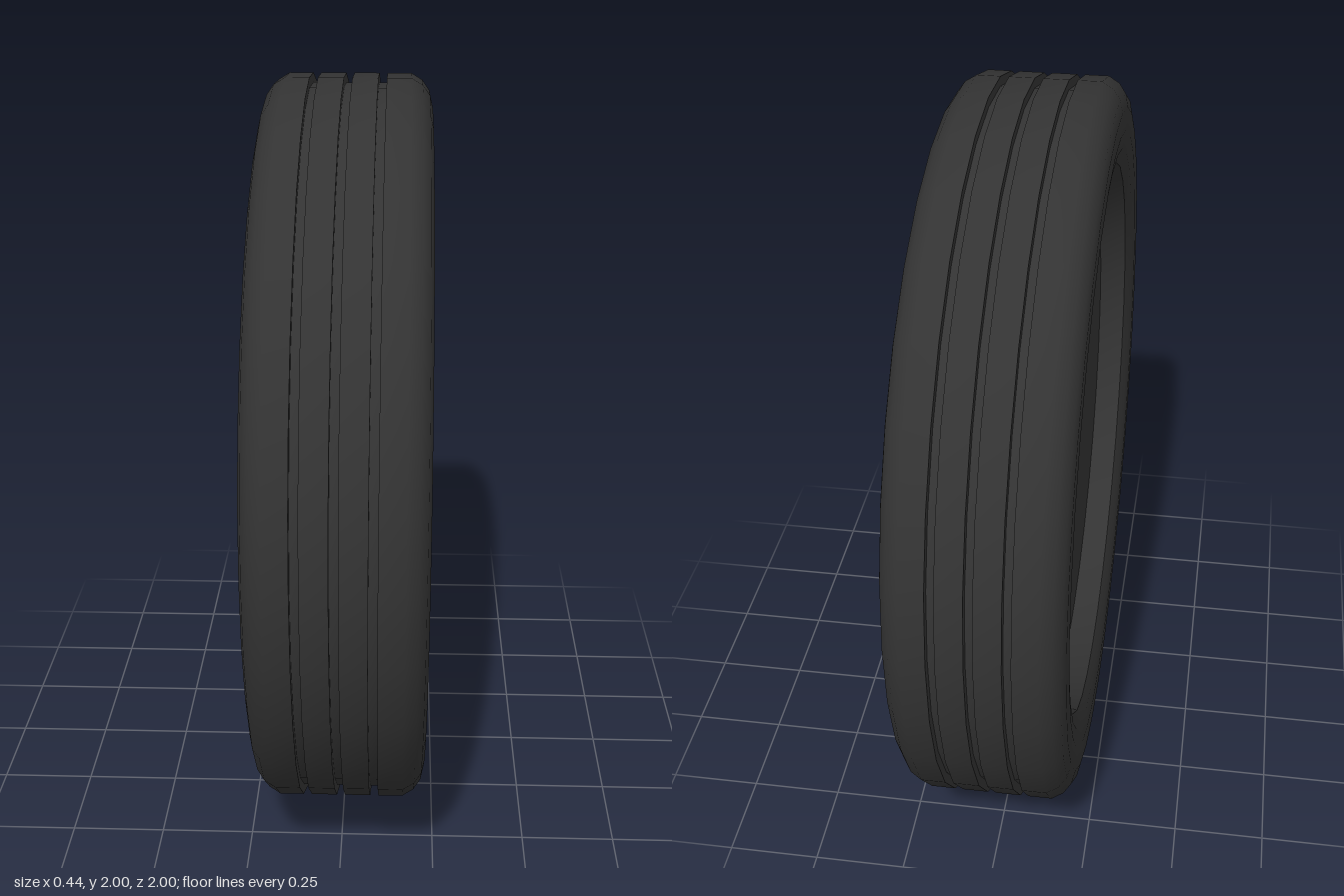
import * as THREE from 'three';
import { toCreasedNormals } from 'three/addons/utils/BufferGeometryUtils.js';

const mat = (name, color, extra = {}) => {
  const m = new THREE.MeshStandardMaterial({ color, ...extra });
  m.name = name;
  return m;
};

export function createModel() {
  const rubber = mat('rubber', 0x333333);
  const rimGrey = mat('rimGrey', 0x626367);
  const innerDark = mat('innerDark', 0x35363a);
  const discGrey = mat('discGrey', 0x949496);
  const silver = mat('silver', 0xc9cbcc);
  const red = mat('red', 0xc84b3e);
  const holeDark = mat('holeDark', 0x2b2b2d);

  const model = new THREE.Group();
  model.name = 'wheel';
  const wheel = new THREE.Group();
  wheel.name = 'wheelAssembly';
  wheel.position.y = 1;
  model.add(wheel);

  const add = (name, geo, material, parent = wheel) => {
    const mesh = new THREE.Mesh(geo, material);
    mesh.name = name;
    parent.add(mesh);
    return mesh;
  };
  // Profile of [x, radius] points turned about the x axle
  const turn = (profile, segments, crease) => {
    const geo = new THREE.LatheGeometry(profile.map(([x, r]) => new THREE.Vector2(r, x)), segments);
    geo.rotateZ(-Math.PI / 2);
    return toCreasedNormals(geo, crease);
  };
  // Solid cylinder between two x positions
  const drum = (x0, x1, r0, r1, segments) =>
    new THREE.CylinderGeometry(r1, r0, x1 - x0, segments).rotateZ(-Math.PI / 2).translate((x0 + x1) / 2, 0, 0);

  // Tyre: half a sidewall mirrored, with three tread grooves between
  const side = [[0.2, 0.77], [0.215, 0.81], [0.222, 0.86], [0.222, 0.92], [0.214, 0.955], [0.195, 0.982], [0.165, 1]];
  const tread = [];
  for (const g of [-0.09, 0, 0.09]) {
    tread.push([g - 0.011, 1], [g - 0.011, 0.974], [g + 0.011, 0.974], [g + 0.011, 1]);
  }
  const back = side.map(([x, r]) => [-x, r]);
  add('tyre', turn([[-0.115, 0.755], ...back, ...tread, ...side.slice().reverse()], 32, 0.6), rubber);

  // Closed, recessed back
  add('backPlate', drum(-0.125, -0.115, 0.757, 0.757, 32), rubber);

  // Rim lip and faceted barrel
  add('rimLip', turn([[0.2, 0.77], [0.15, 0.7], [0.14, 0.69]], 32, 0.5), rimGrey);
  add('rimBarrel', turn([[0.14, 0.69], [-0.115, 0.685]], 32, 0.1), innerDark);

  // Brake disc and its raised centre
  add('brakeDisc', drum(-0.05, -0.02, 0.67, 0.67, 64), discGrey);
  add('brakeCentre', drum(-0.02, 0.005, 0.278, 0.26, 32), rimGrey);

  // Two rings of drilled holes
  const rings = [[0.57, 7.5], [0.47, 5]];
  const holeGeo = drum(-0.021, -0.017, 0.014, 0.014, 10);
  for (const [r, start] of rings) {
    for (let i = 0; i < 24; i++) {
      const a = THREE.MathUtils.degToRad(start + i * 15);
      add('discHole', holeGeo, holeDark).position.set(0, r * Math.sin(a), -r * Math.cos(a));
    }
  }

  // Hub, flange, washer and hexagonal nut
  add('hubBarrel', drum(0, 0.1, 0.15, 0.15, 32), silver);
  add('hubFlange', drum(0.09, 0.13, 0.217, 0.217, 40), silver);
  add('washer', drum(0.13, 0.142, 0.135, 0.13, 32), silver);
  add('axleNut', drum(0.142, 0.168, 0.12, 0.12, 6), red);

  // Ten T-section spokes leaning outwards to the lip
  const root = 0.17, tip = 0.73;
  const lean = -Math.atan2(0.06, tip - root);
  const len = Math.hypot(0.06, tip - root);
  const faceGeo = new THREE.BoxGeometry(0.014, len, 0.028).translate(-0.007, len / 2, 0);
  const ribGeo = new THREE.BoxGeometry(0.04, len - 0.05, 0.014).translate(-0.034, (len - 0.05) / 2, 0);
  const footGeo = new THREE.BoxGeometry(0.022, 0.03, 0.036).translate(-0.01, len - 0.015, 0);
  const rootGeo = new THREE.BoxGeometry(0.06, 0.09, 0.038).translate(-0.032, 0.02, 0);
  for (let i = 0; i < 10; i++) {
    const spoke = new THREE.Group();
    spoke.name = 'spoke';
    spoke.rotation.x = THREE.MathUtils.degToRad(3 + i * 36 - 90);
    const arm = new THREE.Group();
    arm.name = 'spokeArm';
    arm.position.set(0.115, root, 0);
    arm.rotation.z = lean;
    spoke.add(arm);
    add('spokeFace', faceGeo, silver, arm);
    add('spokeRib', ribGeo, silver, arm);
    add('spokeTip', footGeo, silver, arm);
    add('spokeRoot', rootGeo, silver, arm);
    wheel.add(spoke);
  }

  // Air valve on the lip
  add('valve', drum(0.14, 0.175, 0.01, 0.008, 10), silver).position.y = 0.71;

  return model;
}
